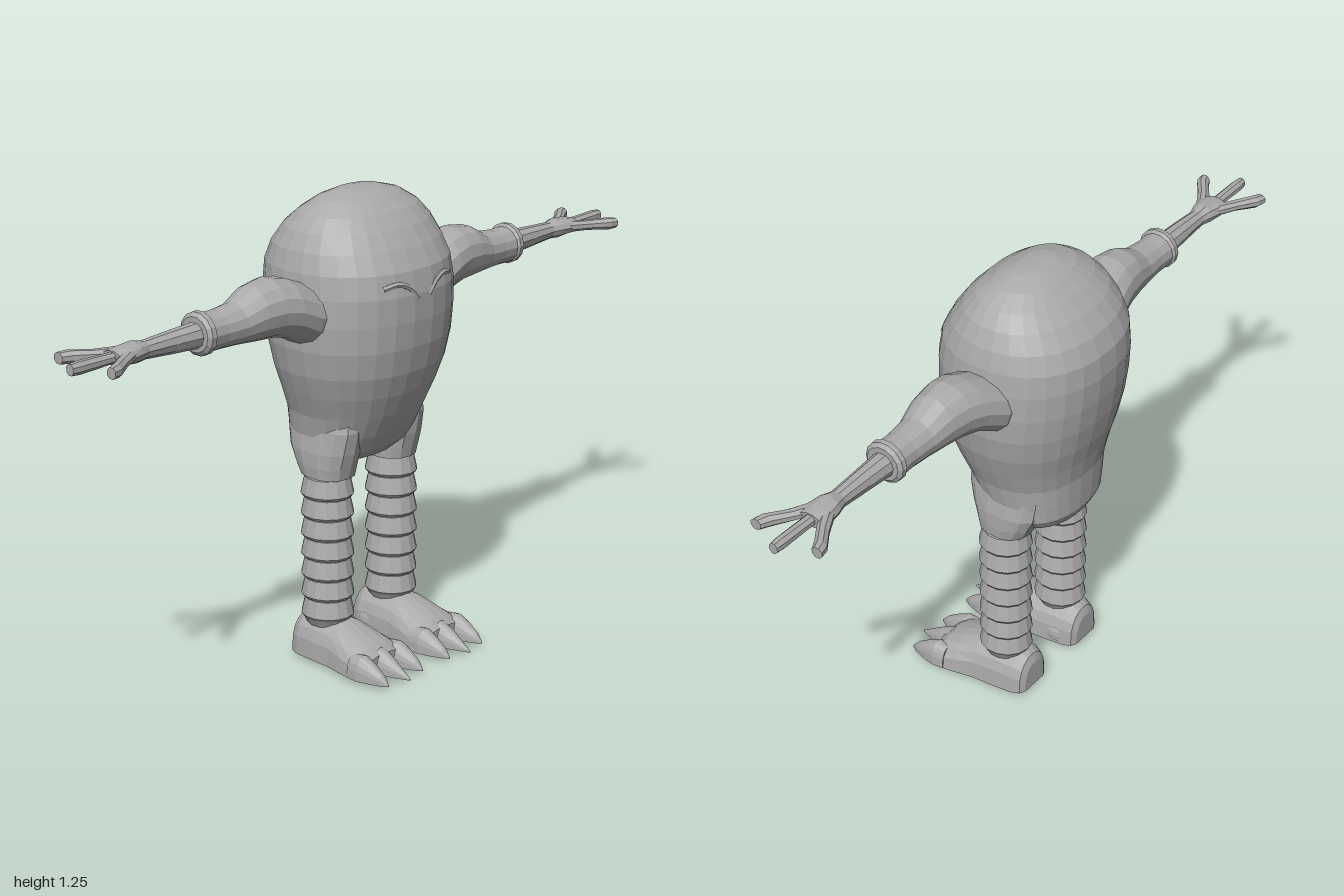
import * as THREE from 'three';

const skin = new THREE.MeshStandardMaterial({ color: 0xaaaaaa });
skin.name = 'grey skin';
skin.flatShading = true;

// Ring of n points square to an axis; a, b are the centre and ra, rb the radii on the other two axes.
function ring(axis, pos, a, b, ra, rb, n, power = 2) {
  const pts = [];
  for (let i = 0; i < n; i++) {
    const t = ((i + 0.5) / n) * Math.PI * 2;
    const round = (v) => Math.sign(v) * Math.abs(v) ** (2 / power);
    const u = a + ra * round(Math.cos(t)), v = b + rb * round(Math.sin(t));
    pts.push(axis === 'x' ? [pos, u, v] : axis === 'y' ? [u, pos, v] : [u, v, pos]);
  }
  return pts;
}

// Skin over a row of rings with closed ends, faces turned outwards.
function loft(rings) {
  const n = rings[0].length, idx = [];
  const pos = rings.flat(2);
  for (let j = 0; j < rings.length - 1; j++) {
    for (let i = 0; i < n; i++) {
      const a = j * n + i, b = j * n + ((i + 1) % n);
      idx.push(a, b, b + n, a, b + n, a + n);
    }
  }
  const last = (rings.length - 1) * n;
  for (let i = 1; i < n - 1; i++) idx.push(0, i + 1, i, last, last + i, last + i + 1);
  const P = (k) => new THREE.Vector3().fromArray(pos, k * 3);
  let volume = 0;
  for (let k = 0; k < idx.length; k += 3) volume += P(idx[k]).dot(P(idx[k + 1]).cross(P(idx[k + 2])));
  if (volume < 0) idx.reverse();
  const g = new THREE.BufferGeometry();
  g.setAttribute('position', new THREE.Float32BufferAttribute(pos, 3));
  g.setIndex(idx);
  g.computeVertexNormals();
  return g;
}

function add(parent, name, geometry) {
  const mesh = new THREE.Mesh(geometry, skin);
  mesh.name = name;
  parent.add(mesh);
  return mesh;
}

// Egg body: height, half width, front z, back z
const BODY = [
  [0.525, 0.09, -0.04, -0.13], [0.545, 0.14, 0.03, -0.175], [0.575, 0.168, 0.065, -0.19],
  [0.62, 0.178, 0.092, -0.193], [0.68, 0.19, 0.122, -0.196], [0.74, 0.212, 0.148, -0.208],
  [0.8, 0.232, 0.169, -0.225], [0.87, 0.246, 0.184, -0.24], [0.94, 0.25, 0.191, -0.25],
  [1.01, 0.248, 0.193, -0.255], [1.07, 0.242, 0.182, -0.25], [1.12, 0.228, 0.155, -0.228],
  [1.165, 0.206, 0.123, -0.192], [1.2, 0.176, 0.09, -0.152], [1.23, 0.128, 0.048, -0.11],
  [1.246, 0.07, 0.01, -0.075], [1.25, 0.03, -0.015, -0.05],
];

// Arm: x, centre y, half height, centre z, half depth
const UPPER_ARM = [
  [0.17, 0.955, 0.085, -0.03, 0.1], [0.24, 0.968, 0.082, -0.028, 0.098], [0.3, 0.995, 0.078, -0.022, 0.088],
  [0.35, 1.005, 0.077, -0.02, 0.078], [0.41, 1.003, 0.071, -0.018, 0.068], [0.47, 0.99, 0.053, -0.018, 0.056],
  [0.53, 0.988, 0.049, -0.018, 0.05], [0.585, 0.988, 0.05, -0.018, 0.051],
];
const FOREARM = [
  [0.58, 0.988, 0.034, -0.018, 0.034], [0.68, 0.989, 0.029, -0.018, 0.028],
  [0.77, 0.99, 0.023, -0.018, 0.024], [0.8, 0.992, 0.027, -0.018, 0.034],
  [0.84, 0.992, 0.023, -0.018, 0.042], [0.87, 0.992, 0.018, -0.018, 0.034],
];

function buildArm(s) {
  const arm = new THREE.Group();
  arm.name = s > 0 ? 'leftArm' : 'rightArm';
  const along = (rows, n) => loft(rows.map(([x, y, ry, z, rz]) => ring('x', s * x, y, z, ry, rz, n)));
  add(arm, 'upperArm', along(UPPER_ARM, 14));
  add(arm, 'cuff', along([
    [0.572, 0.99, 0.045, -0.018, 0.047], [0.58, 0.99, 0.056, -0.018, 0.057],
    [0.594, 0.99, 0.055, -0.018, 0.056], [0.602, 0.99, 0.045, -0.018, 0.046],
  ], 14));
  add(arm, 'forearmAndHand', along(FOREARM, 10));
  // Three splayed fingers
  for (const [dir, tip] of [[-1, 0.955], [0, 1], [1, 0.955]]) {
    const w = dir ? 0.02 : 0.016;
    add(arm, 'finger', along([
      [0.815, 0.993, 0.016, -0.018 + dir * 0.012, w], [0.88, 0.993, 0.014, -0.018 + dir * 0.047, w],
      [tip - 0.025, 0.993, 0.017, -0.018 + dir * 0.081, w], [tip, 0.993, 0.015, -0.018 + dir * 0.09, w * 0.8],
    ], 8));
  }
  return arm;
}

// Foot slice: a domed top over a flat sole
function footSlice(z, cx, half, top) {
  const pts = [];
  for (let i = 0; i <= 10; i++) {
    const t = (i / 10) * Math.PI;
    pts.push([cx + half * Math.cos(t), 0.01 + (top - 0.01) * Math.sin(t) ** 0.7, z]);
  }
  return pts;
}

function buildLeg(s) {
  const leg = new THREE.Group();
  leg.name = s > 0 ? 'leftLeg' : 'rightLeg';
  const cx = s * 0.125, cz = -0.028;

  // Hip flaring into the body
  add(leg, 'hip', loft([
    [0.51, 0.061, 0.042, -0.1], [0.54, 0.064, 0.05, -0.118], [0.58, 0.064, 0.062, -0.14],
    [0.64, 0.056, 0.075, -0.15], [0.7, 0.04, 0.07, -0.14],
  ].map(([y, rx, f, b]) => ring('y', y, s * 0.12, (f + b) / 2, rx, (f - b) / 2, 14, 2.4))));

  // Stacked, downward flaring leg bands
  const bands = 7, h = 0.39 / bands;
  const profile = [new THREE.Vector2(0, 0.1), new THREE.Vector2(0.055, 0.1)];
  for (let i = 0; i < bands; i++) {
    const y = 0.12 + i * h;
    profile.push(new THREE.Vector2(0.066, y), new THREE.Vector2(0.072, y + 0.008),
      new THREE.Vector2(0.062, y + h - 0.003), new THREE.Vector2(0.057, y + h));
  }
  profile.push(new THREE.Vector2(0, 0.515));
  const bandsMesh = add(leg, 'bandedLeg', new THREE.LatheGeometry(profile, 14));
  bandsMesh.position.set(cx, 0, cz);
  bandsMesh.scale.x = 0.95;

  // Foot from heel to toes
  add(leg, 'foot', loft([
    [-0.117, 0.042, 0.085], [-0.108, 0.058, 0.108], [-0.085, 0.068, 0.122], [-0.03, 0.074, 0.126],
    [0.035, 0.078, 0.12], [0.09, 0.09, 0.1], [0.14, 0.097, 0.08], [0.165, 0.09, 0.06],
  ].map(([z, half, top]) => footSlice(z, s * 0.12, half, top))));

  // Round knob on the inner ankle
  const knob = add(leg, 'ankleKnob', new THREE.SphereGeometry(0.034, 12, 8));
  knob.position.set(s * 0.066, 0.034, -0.055);
  knob.scale.x = 0.6;

  // Three pointed claws
  for (const [x, tip] of [[0.054, 0.24], [0.121, 0.255], [0.188, 0.24]]) {
    add(leg, 'claw', loft([
      [0.12, 0.028, 0.068], [0.155, 0.031, 0.072], [0.185, 0.025, 0.058], [0.22, 0.014, 0.036], [1, 0.002, 0.014],
    ].map(([z, half, top]) => footSlice(Math.min(z, tip), s * x, half, top))));
  }
  return leg;
}

export function createModel() {
  const model = new THREE.Group();
  model.name = 'creature';
  add(model, 'body', loft(BODY.map(([y, hx, f, b]) => ring('y', y, 0, (f + b) / 2, hx, (f - b) / 2, 28, 2.25))));

  for (const s of [1, -1]) {
    // Low brow ridge mostly sunk in the face
    const brow = new THREE.CatmullRomCurve3([
      [0.02, 1.0, 0.187], [0.05, 1.03, 0.184], [0.085, 1.043, 0.177], [0.125, 1.035, 0.162],
    ].map(([x, y, z]) => new THREE.Vector3(s * x, y, z)));
    add(model, s > 0 ? 'leftBrow' : 'rightBrow', new THREE.TubeGeometry(brow, 10, 0.008, 6));
    model.add(buildArm(s), buildLeg(s));
  }
  return model;
}
